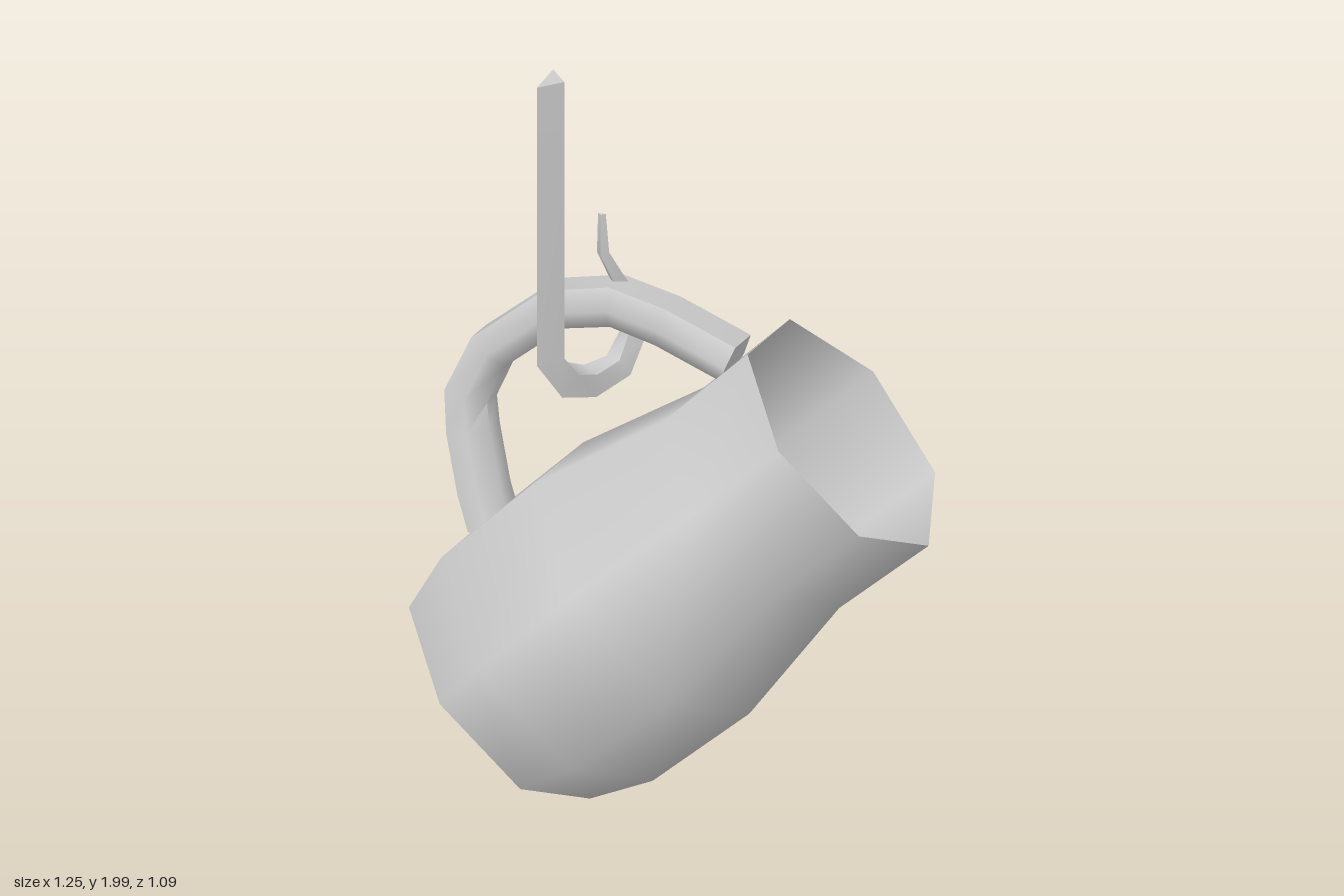
import * as THREE from 'three';
import { toCreasedNormals } from 'three/addons/utils/BufferGeometryUtils.js';

// Sweeps a closed section, given as [along binormal, along outward normal], along a path of Vector3.
function sweep(path, binormal, section, scale = () => 1) {
  const n = section.length;
  const positions = [];
  const index = [];
  path.forEach((p, k) => {
    const tangent = path[Math.min(k + 1, path.length - 1)].clone()
      .sub(path[Math.max(k - 1, 0)]).normalize();
    const normal = tangent.clone().cross(binormal).normalize();
    const side = normal.clone().cross(tangent);
    for (const [b, m] of section) {
      const v = p.clone().addScaledVector(side, b * scale(k)).addScaledVector(normal, m * scale(k));
      positions.push(v.x, v.y, v.z);
    }
  });
  for (let k = 0; k < path.length - 1; k++) {
    for (let i = 0; i < n; i++) {
      const a = k * n + i, b = k * n + (i + 1) % n;
      index.push(a, b, b + n, a, b + n, a + n);
    }
  }
  // end caps
  const last = (path.length - 1) * n;
  for (let i = 1; i < n - 1; i++) {
    index.push(0, i + 1, i, last, last + i, last + i + 1);
  }
  const geometry = new THREE.BufferGeometry();
  geometry.setAttribute('position', new THREE.Float32BufferAttribute(positions, 3));
  geometry.setIndex(index);
  return toCreasedNormals(geometry, Math.PI / 3);
}

export function createModel() {
  const model = new THREE.Group();
  const grey = new THREE.MeshStandardMaterial({ color: 0xcccccc, side: THREE.DoubleSide });
  grey.name = 'light grey';

  const add = (parent, name, geometry) => {
    const mesh = new THREE.Mesh(geometry, grey);
    mesh.name = name;
    parent.add(mesh);
    return mesh;
  };

  // Tilted jug: local y runs up its axis, local z points to the handle
  const jug = new THREE.Group();
  jug.name = 'jug';
  const up = new THREE.Vector3(0.596, 0.686, 0.412).normalize();
  const out = new THREE.Vector3(-0.41, 0.705, -0.575);
  const across = up.clone().cross(out).normalize();
  out.crossVectors(across, up);
  jug.quaternion.setFromRotationMatrix(new THREE.Matrix4().makeBasis(across, up, out));
  jug.position.set(-0.365, 0.25, -0.26);
  model.add(jug);

  // Seven-sided open body and its base
  const profile = [[0.345, 0], [0.403, 0.17], [0.413, 0.5], [0.336, 0.88], [0.345, 1.185]]
    .map(([r, y]) => new THREE.Vector2(r, y));
  add(jug, 'body', new THREE.LatheGeometry(profile, 7, Math.PI / 7));
  const base = new THREE.CircleGeometry(0.345, 7, Math.PI / 2 - Math.PI / 7);
  add(jug, 'base', base.rotateX(Math.PI / 2));

  // Handle with a flat outer face, following [height, distance from axis]
  const handlePath = [
    [0.21, 0.37], [0.25, 0.46], [0.33, 0.6], [0.4, 0.69], [0.55, 0.755],
    [0.79, 0.74], [0.94, 0.65], [1.03, 0.52], [1.12, 0.34],
  ].map(([y, z]) => new THREE.Vector3(0, y, z));
  const handleSection = [
    [0.055, 0], [-0.055, 0], [-0.07, -0.06], [-0.035, -0.11], [0.035, -0.11], [0.07, -0.06],
  ];
  add(jug, 'handle', sweep(handlePath, new THREE.Vector3(-1, 0, 0), handleSection));

  // Three-sided hook passing under the handle and tapering to its tip
  const hookPath = [
    [-0.27, 2, -0.195], [-0.27, 1.21, -0.195], [-0.22, 1.135, -0.2], [-0.15, 1.11, -0.215],
    [-0.07, 1.125, -0.235], [-0.02, 1.19, -0.265], [-0.025, 1.28, -0.265],
    [-0.07, 1.36, -0.255], [-0.108, 1.44, -0.25], [-0.108, 1.55, -0.255],
  ].map((p) => new THREE.Vector3(...p));
  const hookScale = [1, 1, 0.95, 0.85, 0.75, 0.65, 0.5, 0.4, 0.32, 0.2];
  const hookSection = [[0.025, 0.05], [-0.045, -0.025], [0.025, -0.025]];
  add(model, 'hook', sweep(hookPath, new THREE.Vector3(0, 0, 1), hookSection, (k) => hookScale[k]));

  return model;
}
